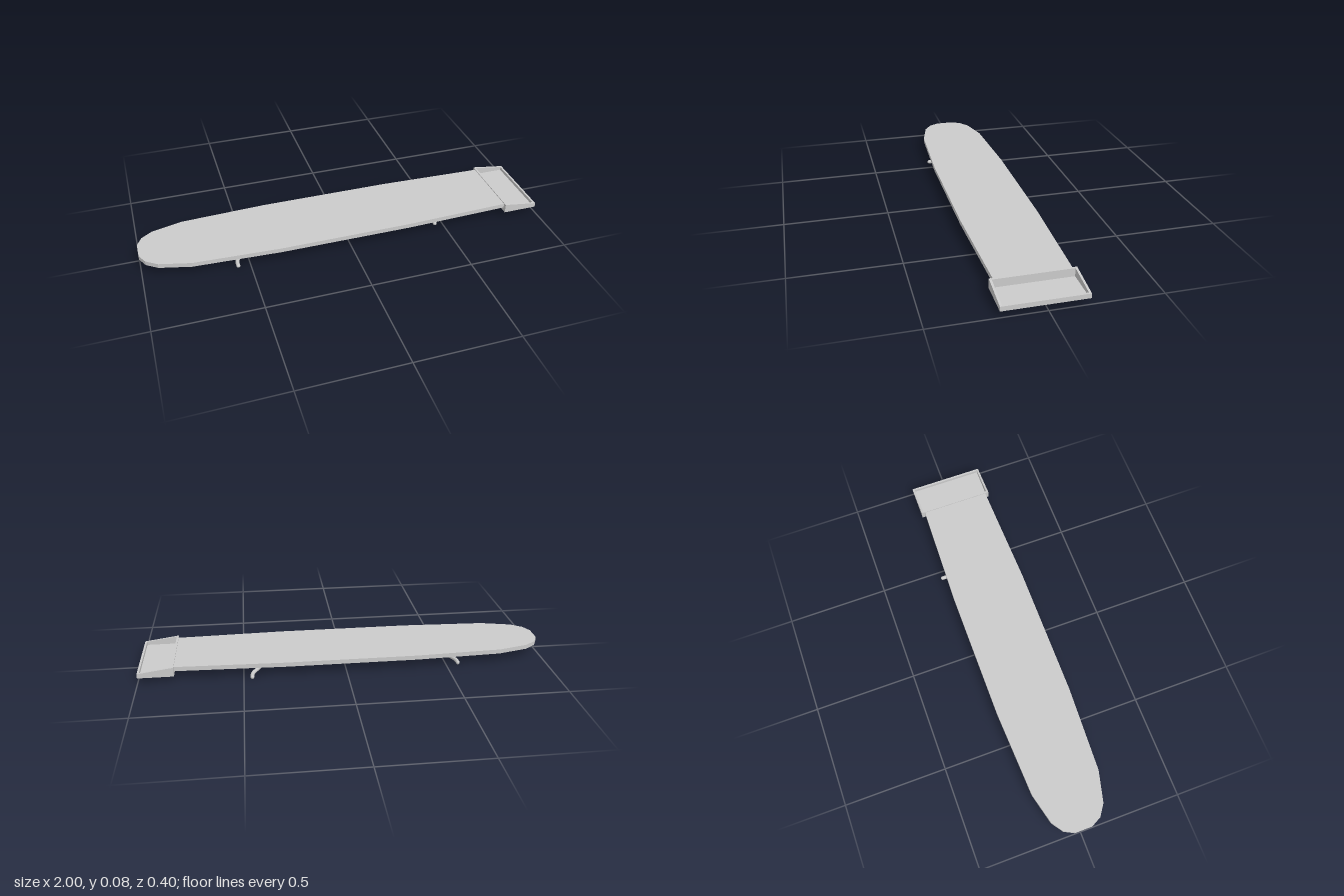
import * as THREE from 'three';

const CENTRE_Z = 0.011;

function mesh(name, geometry, flat = false) {
  const material = new THREE.MeshStandardMaterial({ color: 0xcccccc, flatShading: flat });
  const m = new THREE.Mesh(geometry, material);
  m.name = name;
  return m;
}

// Round bar along a path of straight runs with softly rounded bends and domed ends
function bar(name, points, radius, bend = 0.025) {
  const group = new THREE.Group();
  group.name = name;
  const p = points.map((a) => new THREE.Vector3(...a));
  const path = new THREE.CurvePath();
  let from = p[0];
  for (let i = 1; i < p.length - 1; i++) {
    const a = p[i].clone().add(p[i - 1].clone().sub(p[i]).setLength(bend));
    const b = p[i].clone().add(p[i + 1].clone().sub(p[i]).setLength(bend));
    path.add(new THREE.LineCurve3(from, a));
    path.add(new THREE.QuadraticBezierCurve3(a, p[i], b));
    from = b;
  }
  path.add(new THREE.LineCurve3(from, p[p.length - 1]));
  group.add(mesh(name + 'Tube', new THREE.TubeGeometry(path, 48, radius, 12)));
  for (const end of [p[0], p[p.length - 1]]) {
    const cap = mesh(name + 'End', new THREE.SphereGeometry(radius, 12, 8));
    cap.position.copy(end);
    group.add(cap);
  }
  return group;
}

// Padded top: half outline mirrored across the long axis, tapering to a round nose
function createBoard() {
  const half = [
    [0.83, 0.171], [0.3, 0.188], [-0.35, 0.188], [-0.77, 0.169],
    [-0.92, 0.131], [-0.975, 0.092], [-1, 0.043],
  ];
  const outline = [...half, ...half.map(([x, z]) => [x, -z]).reverse()];
  const shape = new THREE.Shape(outline.map(([x, z]) => new THREE.Vector2(x, z)));
  const geometry = new THREE.ExtrudeGeometry(shape, { depth: 0.022, bevelEnabled: false });
  geometry.rotateX(-Math.PI / 2);
  geometry.translate(0, 0.048, CENTRE_Z);
  return mesh('board', geometry, true);
}

// Open iron tray with a floor and walls that slope down to the outer end
function createTray() {
  const tray = new THREE.Group();
  tray.name = 'ironTray';
  const [x0, x1, y0, yIn, yOut, t, w] = [0.828, 1, 0.029, 0.075, 0.051, 0.01, 0.189];
  const box = (name, sx, sy, sz, x, y, z) => {
    const m = mesh(name, new THREE.BoxGeometry(sx, sy, sz), true);
    m.position.set(x, y, z);
    tray.add(m);
  };
  box('trayFloor', x1 - x0, 0.006, 2 * w, (x0 + x1) / 2, y0 + 0.003, CENTRE_Z);
  box('trayInnerWall', t, yIn - y0 - 0.001, 2 * w, x0 + t / 2, (y0 + yIn - 0.001) / 2, CENTRE_Z);
  box('trayOuterWall', t, yOut - y0, 2 * w, x1 - t / 2, (y0 + yOut) / 2, CENTRE_Z);
  const side = new THREE.Shape([
    new THREE.Vector2(x0, y0), new THREE.Vector2(x1, y0),
    new THREE.Vector2(x1, yOut), new THREE.Vector2(x0, yIn),
  ]);
  for (const z of [CENTRE_Z - w, CENTRE_Z + w - t]) {
    const geometry = new THREE.ExtrudeGeometry(side, { depth: t, bevelEnabled: false });
    geometry.translate(0, 0, z);
    tray.add(mesh('traySideWall', geometry, true));
  }
  return tray;
}

// Folded leg: long bar ending in a forked foot
function createLeg(name) {
  const leg = new THREE.Group();
  leg.name = name;
  const r = 0.0095;
  const fork = 0.43;
  const foot = 0.507;
  leg.add(bar('legBar', [[-0.365, 0.0105, 0], [fork, 0.0105, 0]], r));
  leg.add(bar('forkedFoot', [
    [foot, r, -0.173], [foot, r, -0.135], [fork, r + 0.001, 0],
    [foot, r, 0.135], [foot, r, 0.173],
  ], r));
  return leg;
}

export function createModel() {
  const model = new THREE.Group();
  model.name = 'ironingBoard';
  model.add(createBoard(), createTray());

  // Two legs lie side by side, facing opposite ways
  const tailLeg = createLeg('tailLeg');
  tailLeg.position.set(-0.048, 0, -0.017);
  const noseLeg = createLeg('noseLeg');
  noseLeg.rotation.y = Math.PI;
  noseLeg.position.set(-0.052, 0, 0.017);
  model.add(tailLeg, noseLeg);
  return model;
}
